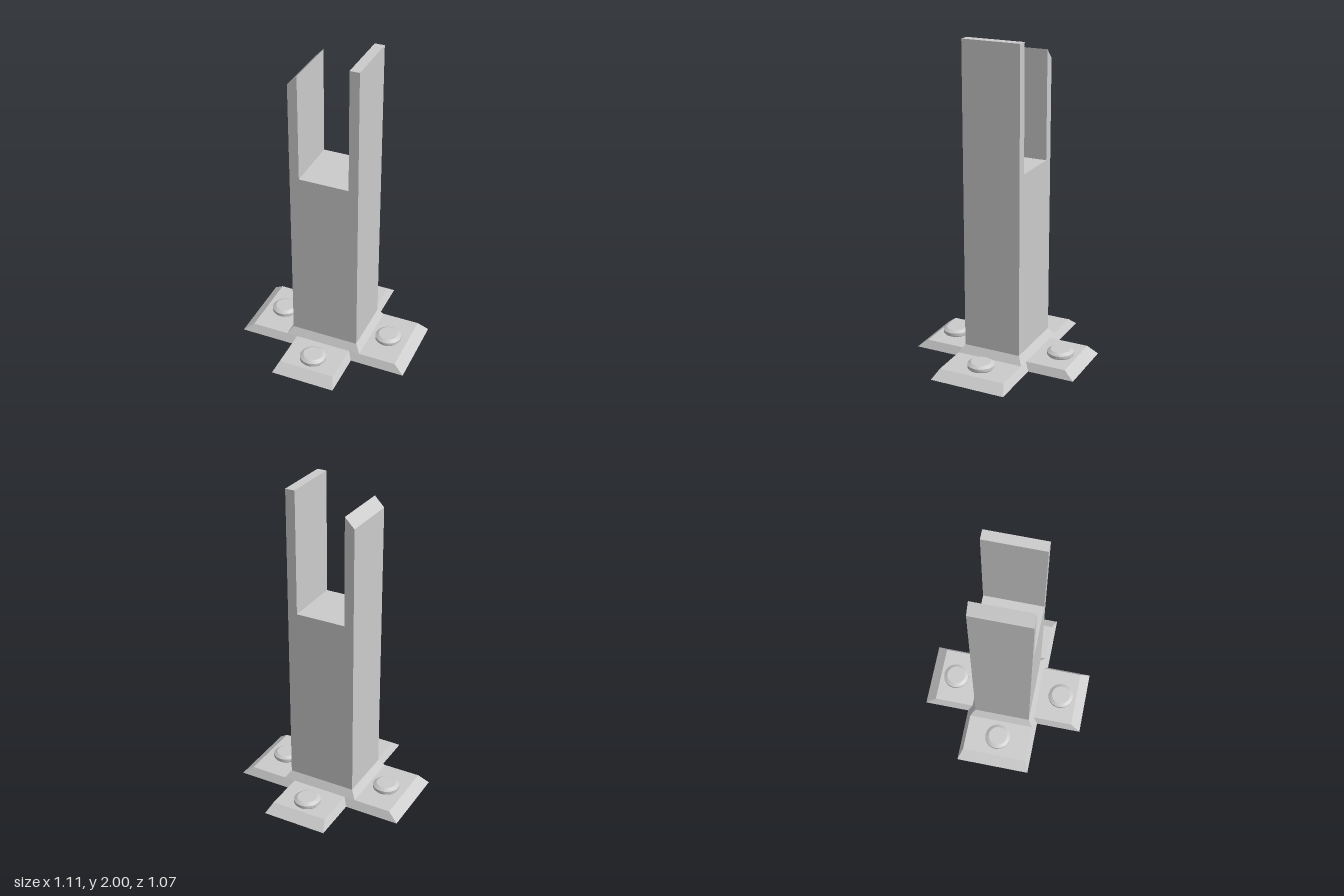
import * as THREE from 'three';
import { toCreasedNormals } from 'three/addons/utils/BufferGeometryUtils.js';

const material = new THREE.MeshStandardMaterial({ color: 0xcccccc, side: THREE.DoubleSide });

function addMesh(parent, name, geometry) {
  const mesh = new THREE.Mesh(geometry, material);
  mesh.name = name;
  parent.add(mesh);
  return mesh;
}

// Flat-shaded surface from four-cornered faces
function quadGeometry(quads) {
  const positions = quads.flatMap(([a, b, c, d]) => [a, b, c, a, c, d].flat());
  const geometry = new THREE.BufferGeometry();
  geometry.setAttribute('position', new THREE.Float32BufferAttribute(positions, 3));
  geometry.computeVertexNormals();
  return geometry;
}

// Mirror a face across x and/or z, keeping it facing outward
function mirrorQuad(quad, sx, sz) {
  const q = quad.map(([x, y, z]) => [x * sx, y, z * sz]);
  return sx * sz < 0 ? q.reverse() : q;
}

// Post half sizes and base levels
const PX = 0.217, PZ = 0.183, COLLAR = 0.098, PLATE = 0.05;

// Hollow post, open below, with a slot between two unequal prongs
function createPost() {
  const post = new THREE.Group();
  post.name = 'post';
  const outline = [
    [PX, COLLAR], [PX, 2], [0.157, 2], [0.157, 1.233],
    [-0.157, 1.233], [-0.157, 1.905], [-PX, 1.843], [-PX, COLLAR],
  ];
  const walls = [];
  for (let i = 0; i < outline.length - 1; i++) {
    const [x0, y0] = outline[i], [x1, y1] = outline[i + 1];
    walls.push([[x0, y0, PZ], [x0, y0, -PZ], [x1, y1, -PZ], [x1, y1, PZ]]);
  }
  addMesh(post, 'postSidesAndProngs', quadGeometry(walls));

  for (const side of [1, -1]) {
    const shape = new THREE.Shape(outline.map(([x, y]) => new THREE.Vector2(x * side, y)));
    const face = new THREE.ShapeGeometry(shape);
    if (side < 0) face.rotateY(Math.PI);
    face.translate(0, 0, side * PZ);
    addMesh(post, side > 0 ? 'postFront' : 'postBack', face);
  }
  return post;
}

// Open-bottomed cross-shaped foot with bevelled rims and a sloped collar
function createBase() {
  const base = new THREE.Group();
  base.name = 'base';
  const CX = 0.25, CZ = 0.213;   // foot of the collar
  const TX = 0.488, OX = 0.553;  // side flange: top edge, outer edge
  const TZ = 0.469, OZ = 0.533;  // front flange: top edge, outer edge
  const W = 0.18, OW = 0.205, OD = 0.24; // flange half widths
  const collar = [], side = [], front = [];

  for (const s of [1, -1]) {
    // Collar slopes
    collar.push(mirrorQuad([[CX, PLATE, CZ], [CX, PLATE, -CZ], [PX, COLLAR, -PZ], [PX, COLLAR, PZ]], s, 1));
    collar.push(mirrorQuad([[-CX, PLATE, CZ], [CX, PLATE, CZ], [PX, COLLAR, PZ], [-PX, COLLAR, PZ]], 1, s));
    // Flange tops and end bevels
    side.push(mirrorQuad([[CX, PLATE, CZ], [TX, PLATE, CZ], [TX, PLATE, -CZ], [CX, PLATE, -CZ]], s, 1));
    side.push(mirrorQuad([[TX, PLATE, CZ], [OX, 0, OD], [OX, 0, -OD], [TX, PLATE, -CZ]], s, 1));
    front.push(mirrorQuad([[-W, PLATE, CZ], [-W, PLATE, TZ], [W, PLATE, TZ], [W, PLATE, CZ]], 1, s));
    front.push(mirrorQuad([[-W, PLATE, TZ], [-OW, 0, OZ], [OW, 0, OZ], [W, PLATE, TZ]], 1, s));
    // Long bevels along the flange sides
    for (const t of [1, -1]) {
      side.push(mirrorQuad([[W, PLATE, CZ], [OW, 0, OD], [OX, 0, OD], [TX, PLATE, CZ]], s, t));
      front.push(mirrorQuad([[W, PLATE, CZ], [W, PLATE, TZ], [OW, 0, OZ], [OW, 0, OD]], s, t));
    }
  }
  addMesh(base, 'collar', quadGeometry(collar));
  addMesh(base, 'sideFlanges', quadGeometry(side));
  addMesh(base, 'frontAndBackFlanges', quadGeometry(front));
  return base;
}

// One bevelled bolt head per flange
function createBolts() {
  const bolts = new THREE.Group();
  bolts.name = 'bolts';
  const profile = [[0.078, PLATE], [0.083, 0.056], [0.083, 0.075], [0.061, 0.089], [0, 0.089]]
    .map(([r, y]) => new THREE.Vector2(r, y));
  const geometry = toCreasedNormals(new THREE.LatheGeometry(profile, 20), 0.5);
  for (let i = 0; i < 4; i++) {
    const angle = (i * Math.PI) / 2;
    addMesh(bolts, 'bolt', geometry).position.set(0.364 * Math.cos(angle), 0, 0.364 * Math.sin(angle));
  }
  return bolts;
}

export function createModel() {
  const model = new THREE.Group();
  model.name = 'postBracket';
  model.add(createPost(), createBase(), createBolts());
  return model;
}
